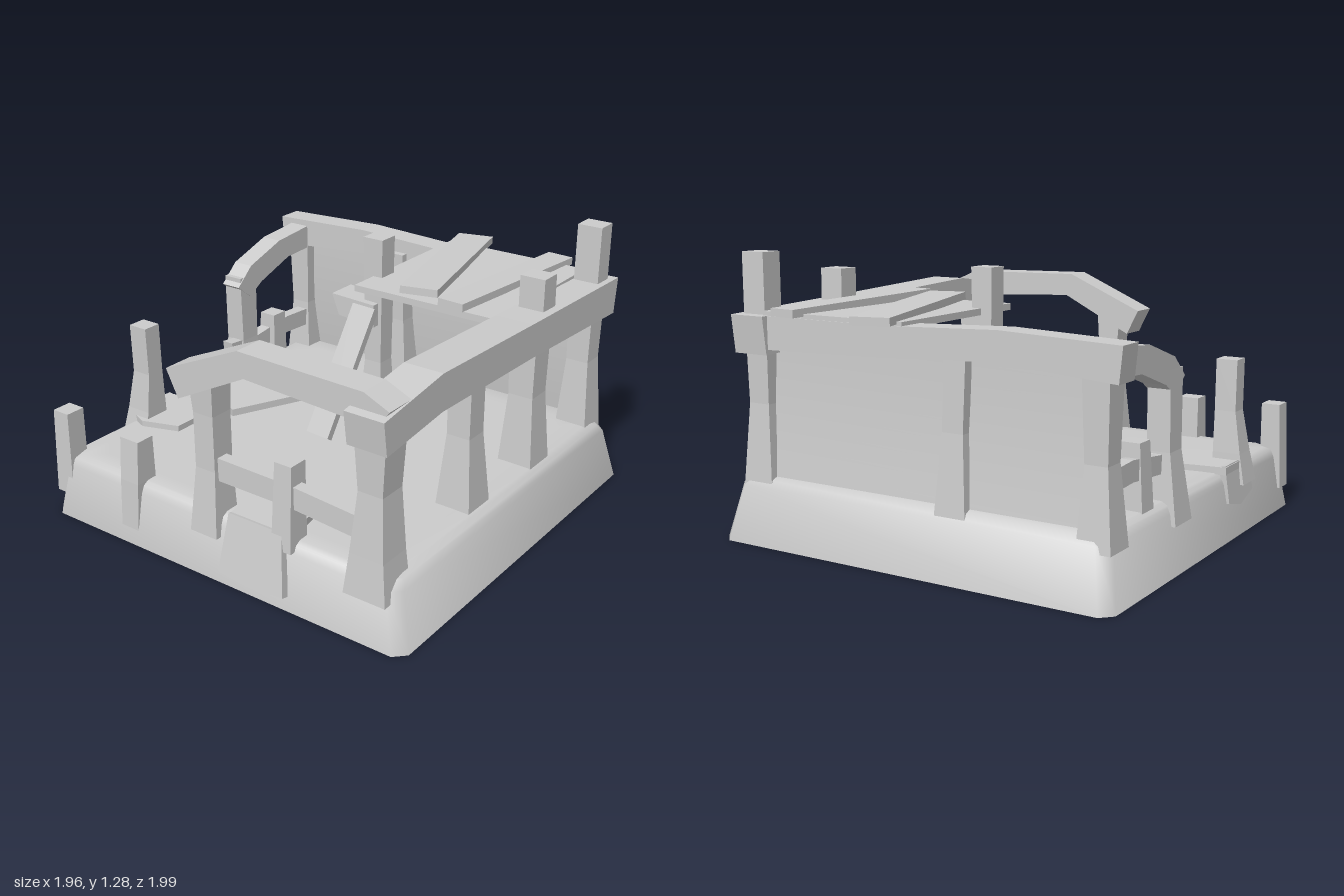
import * as THREE from 'three';
import { toCreasedNormals } from 'three/addons/utils/BufferGeometryUtils.js';

const grey = new THREE.MeshStandardMaterial({ color: 0xcccccc });
const flat = new THREE.MeshStandardMaterial({ color: 0xcccccc, flatShading: true });
const thin = new THREE.MeshStandardMaterial({ color: 0xcccccc, side: THREE.DoubleSide });

// Joins rings of points into a closed solid with end caps facing outward
function loft(rings) {
  const n = rings[0].length, tris = [];
  for (let r = 0; r + 1 < rings.length; r++) {
    for (let i = 0; i < n; i++) {
      const j = (i + 1) % n, a = rings[r], b = rings[r + 1];
      tris.push([a[i], a[j], b[j]], [a[i], b[j], b[i]]);
    }
  }
  const first = rings[0], last = rings[rings.length - 1];
  for (let i = 1; i + 1 < n; i++) {
    tris.push([first[0], first[i + 1], first[i]], [last[0], last[i], last[i + 1]]);
  }
  let volume = 0;
  for (const [a, b, c] of tris) volume += a.dot(b.clone().cross(c));
  if (volume < 0) tris.forEach((t) => t.reverse());
  const geo = new THREE.BufferGeometry().setFromPoints(tris.flat());
  geo.computeVertexNormals();
  return geo;
}

const V = (x, y, z) => new THREE.Vector3(x, y, z);

export function createModel() {
  const group = new THREE.Group();
  const add = (name, geo, mat = flat) => {
    const mesh = new THREE.Mesh(geo, mat);
    mesh.name = name;
    group.add(mesh);
    return mesh;
  };

  // Upright timber; sections are [y, x0, x1, z0, z1]
  const post = (name, sections) => add(name, loft(sections.map(([y, x0, x1, z0, z1]) =>
    [V(x0, y, z0), V(x1, y, z0), V(x1, y, z1), V(x0, y, z1)])));

  // Bent timber along an axis; sections are [top, yTop, bottom, yBottom], c0..c1 is its width
  const beam = (name, axis, sections, c0, c1) => {
    const p = (t, y, c) => (axis === 'x' ? V(t, y, c) : V(c, y, t));
    add(name, loft(sections.map(([t, yt, b, yb]) =>
      [p(t, yt, c0), p(t, yt, c1), p(b, yb, c1), p(b, yb, c0)])));
  };

  // Waisted post: wide foot, narrow middle, wider head
  const waisted = (name, x, z, y0, y1, foot, waist, head) => post(name,
    [[y0, foot], [y0 + (y1 - y0) * 0.55, waist], [y1, head]].map(([y, w]) =>
      [y, x - w / 2, x + w / 2, z - w / 2, z + w / 2]));

  const plank = (name, x, y, z, w, l, yaw, tilt = 0) => {
    const m = add(name, new THREE.BoxGeometry(w, 0.035, l));
    m.position.set(x, y, z);
    m.rotation.set(tilt, yaw, 0, 'YXZ');
  };

  // Ground block with bevelled corners and a soft upper edge
  const ring = (y, inset, cut) => {
    const x0 = -0.98 + inset * 0.75, x1 = 0.975 - inset, z0 = -0.96 + inset, z1 = 0.96 - inset * 0.75;
    return [[x0 + cut, z0], [x1 - cut, z0], [x1, z0 + cut], [x1, z1 - cut],
      [x1 - cut, z1], [x0 + cut, z1], [x0, z1 - cut], [x0, z0 + cut]].map(([x, z]) => V(x, y, z));
  };
  add('groundBlock', toCreasedNormals(loft([
    ring(0, 0, 0.05), ring(0.25, 0.055, 0.05), ring(0.285, 0.075, 0.06),
    ring(0.3, 0.11, 0.07), ring(0.302, 0.2, 0.09)]), 1.1), grey);

  // Right side: four posts, beam and two pegs
  post('frontRightPost', [[0.2, 0.69, 0.89, 0.78, 0.955], [0.38, 0.71, 0.87, 0.785, 0.94],
    [0.65, 0.735, 0.85, 0.79, 0.92], [0.92, 0.72, 0.87, 0.79, 0.93]]);
  waisted('rightPost', 0.78, 0.22, 0.27, 0.92, 0.17, 0.11, 0.11);
  waisted('rightPost', 0.79, -0.29, 0.27, 0.92, 0.17, 0.12, 0.13);
  waisted('backRightPost', 0.8, -0.815, 0.25, 0.92, 0.16, 0.11, 0.12);
  beam('rightBeam', 'z', [[0.99, 1.005, 0.97, 0.86], [0.6, 1.06, 0.6, 0.9],
    [-0.1, 1.035, -0.1, 0.88], [-0.92, 1.01, -0.9, 0.84]], 0.72, 0.9);
  beam('tallPeg', 'x', [[0.75, 1.28, 0.75, 0.95], [0.87, 1.28, 0.87, 0.95]], -0.87, -0.765);
  post('shortPeg', [[0.95, 0.74, 0.86, -0.37, -0.26], [1.175, 0.74, 0.86, -0.365, -0.26]]);

  // Front: middle post, bent beam, rail and its short post
  post('frontMiddlePost', [[0.2, -0.11, 0.035, 0.81, 0.955], [0.5, -0.085, 0.02, 0.82, 0.93],
    [0.75, -0.085, 0.02, 0.82, 0.93], [0.92, -0.1, 0.03, 0.82, 0.94]]);
  beam('frontBeam', 'x', [[-0.205, 0.92, -0.145, 0.8], [0.18, 1.09, 0.21, 0.98],
    [0.78, 1.08, 0.74, 0.955], [0.895, 1.03, 0.82, 0.93]], 0.81, 0.95);
  beam('frontRail', 'x', [[0, 0.56, 0, 0.455], [0.4, 0.555, 0.4, 0.455],
    [0.74, 0.53, 0.74, 0.43]], 0.855, 0.91);
  post('frontRailPost', [[0.26, 0.32, 0.42, 0.83, 0.94], [0.645, 0.33, 0.415, 0.83, 0.92]]);

  // Broken stumps along the front and left edges
  post('frontStump', [[0.02, -0.54, -0.44, 0.86, 0.95], [0.3, -0.535, -0.43, 0.83, 0.94],
    [0.5, -0.535, -0.43, 0.835, 0.925]]);
  post('cornerStump', [[0.1, -0.975, -0.87, 0.83, 0.93], [0.51, -0.96, -0.87, 0.83, 0.925]]);
  post('leftStump', [[0.22, -0.975, -0.82, 0.35, 0.5], [0.36, -0.95, -0.82, 0.355, 0.475],
    [0.55, -0.92, -0.82, 0.365, 0.455], [0.785, -0.92, -0.82, 0.37, 0.46]]);

  // Left side: post, drooping beam and low rail
  post('leftPost', [[0.2, -0.965, -0.81, -0.36, -0.2], [0.5, -0.925, -0.82, -0.34, -0.23],
    [0.84, -0.92, -0.82, -0.34, -0.22]]);
  beam('leftBeam', 'z', [[-0.82, 0.99, -0.82, 0.87], [-0.53, 0.965, -0.6, 0.86],
    [-0.3, 0.89, -0.38, 0.785], [-0.2, 0.8, -0.29, 0.73]], -0.92, -0.815);
  beam('leftRail', 'z', [[-0.15, 0.51, -0.16, 0.43], [-0.35, 0.49, -0.35, 0.41],
    [-0.6, 0.52, -0.6, 0.43], [-0.8, 0.51, -0.8, 0.42]], -0.89, -0.83);
  post('leftRailPost', [[0.27, -0.91, -0.8, -0.555, -0.45], [0.575, -0.89, -0.8, -0.545, -0.455]]);

  // Back: posts, long beam and flared wall
  post('backLeftPost', [[0.22, -0.95, -0.8, -0.9, -0.75], [0.55, -0.92, -0.82, -0.87, -0.77],
    [0.92, -0.93, -0.81, -0.88, -0.76]]);
  post('backMiddlePost', [[0.25, -0.3, -0.15, -0.9, -0.73], [0.6, -0.275, -0.175, -0.87, -0.74],
    [0.955, -0.285, -0.18, -0.86, -0.73]]);
  beam('backBeam', 'x', [[-0.985, 1.01, -0.97, 0.865], [-0.45, 1.03, -0.45, 0.905],
    [0.1, 1.01, 0.1, 0.88], [0.85, 1.01, 0.85, 0.86]], -0.89, -0.765);
  const wall = new THREE.PlaneGeometry(1.66, 0.65, 1, 8);
  const wp = wall.attributes.position;
  for (let i = 0; i < wp.count; i++) {
    const t = 0.5 - wp.getY(i) / 0.65;
    wp.setZ(i, -0.815 - 0.045 * t * t);
  }
  wall.translate(-0.05, 0.605, 0);
  wall.computeVertexNormals();
  add('backWall', wall, thin);

  // Roof sheet with loose planks
  const roof = add('roofSheet', new THREE.BoxGeometry(0.74, 0.03, 0.82));
  roof.position.set(0.375, 1.015, -0.475);
  plank('roofPlank', 0.21, 1.045, -0.54, 0.175, 0.9, 0.255, -0.02);
  plank('roofPlank', 0.555, 1.045, -0.495, 0.13, 0.9, -0.07, -0.02);

  // Centre post with bracket and leaning board
  post('centrePost', [[0.28, -0.07, 0.06, -0.33, -0.2], [0.6, -0.045, 0.045, -0.31, -0.22],
    [1.21, -0.05, 0.055, -0.31, -0.21]]);
  beam('centreBracket', 'x', [[-0.21, 0.91, -0.17, 0.81], [0.03, 0.9, 0.03, 0.79]], -0.33, -0.18);
  add('leaningBoard', loft([[-0.13, 0.31, 0.1], [-0.07, 0.88, -0.185]].map(([x, y, z]) =>
    [V(x, y, z), V(x + 0.13, y, z + 0.01), V(x + 0.13, y + 0.02, z + 0.04), V(x, y + 0.02, z + 0.03)])));

  // Floor planks
  plank('floorPlank', -0.435, 0.32, -0.28, 0.172, 0.92, -0.44);
  plank('floorPlank', 0.306, 0.32, 0.19, 0.175, 0.92, 0.41);

  // Paving slabs lying on top and hanging over the edges
  const slab = (name, rim, depth) => add(name, loft([rim, rim.map((p) => p.clone().add(depth))]));
  slab('frontPaving', [[0.06, 0.66], [0.22, 0.62], [0.35, 0.66], [0.38, 0.8], [0.37, 0.93], [0.09, 0.93]]
    .map(([x, z]) => V(x, 0.295, z)), V(0, 0.04, 0));
  slab('frontHangingSlab', [[0.09, 0.33], [0.37, 0.33], [0.41, 0.065], [0.22, 0.05], [0.065, 0.065]]
    .map(([x, y]) => V(x, y, 0.965 - 0.2 * y)), V(0, 0.01, 0.035));
  slab('leftPaving', [[-0.95, 0.2], [-0.73, 0.17], [-0.65, 0.25], [-0.65, 0.45], [-0.83, 0.51], [-0.95, 0.46]]
    .map(([x, z]) => V(x, 0.295, z)), V(0, 0.035, 0));
  slab('leftHangingSlab', [[0.2, 0.33], [0.47, 0.33], [0.49, 0.17], [0.34, 0.13], [0.21, 0.16]]
    .map(([z, y]) => V(-0.955 + 0.12 * y, y, z)), V(-0.03, 0.005, 0));

  return group;
}
